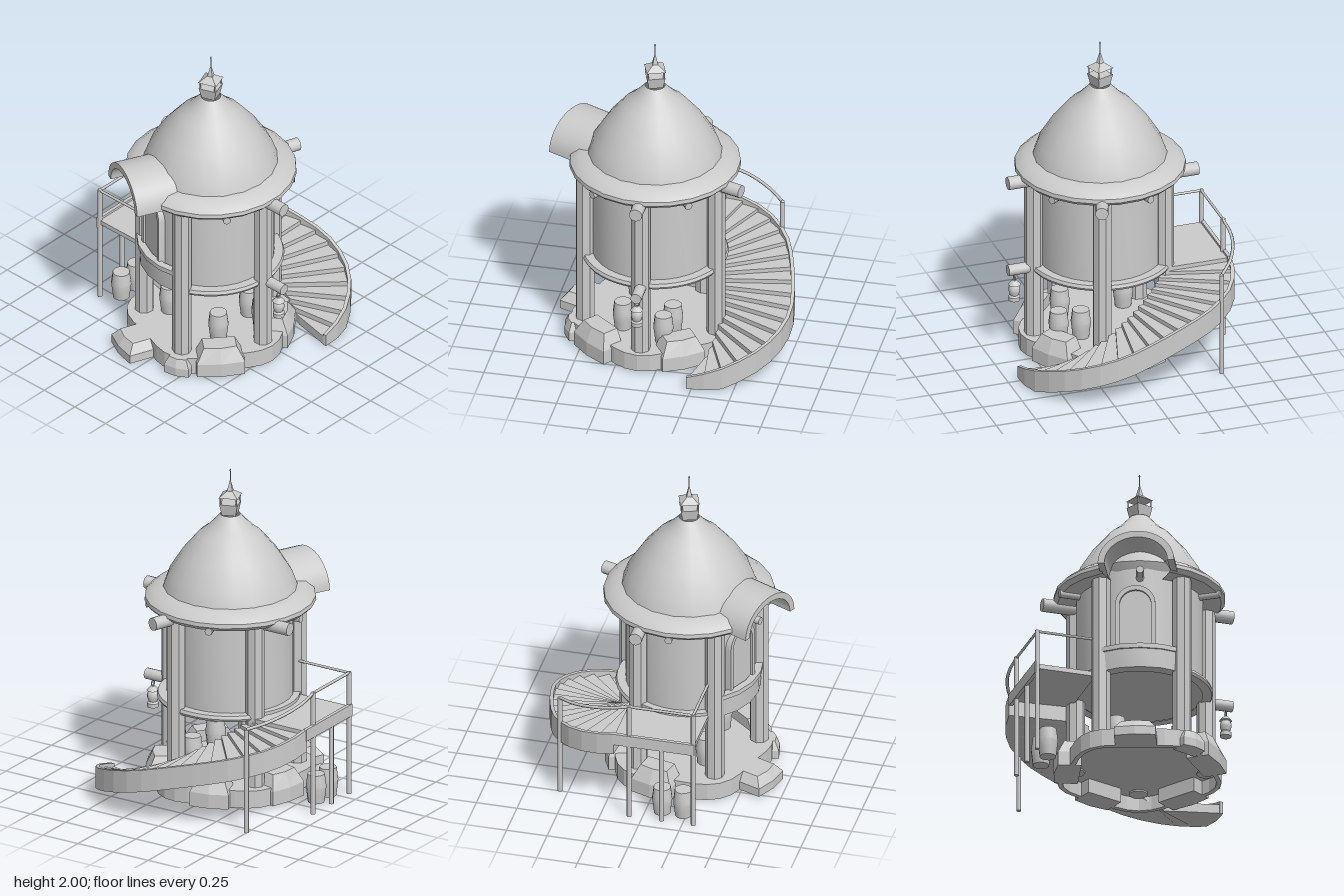
import * as THREE from 'three';
import { mergeGeometries, toCreasedNormals } from 'three/addons/utils/BufferGeometryUtils.js';

const smooth = new THREE.MeshStandardMaterial({ color: 0xcccccc, side: THREE.DoubleSide });
const flat = new THREE.MeshStandardMaterial({ color: 0xcccccc, flatShading: true, side: THREE.DoubleSide });
const rad = (d) => d * Math.PI / 180;
const V = (x, y, z) => new THREE.Vector3(x, y, z);
const AX = -0.108, AZ = 0.047; // tower axis

function add(parent, name, geo, mat = smooth) {
  const mesh = new THREE.Mesh(geo, mat);
  mesh.name = name;
  parent.add(mesh);
  return mesh;
}

// Puts an object at a compass angle round the tower, its local +z pointing outwards
function around(obj, deg, r, y, facing = deg) {
  obj.position.set(Math.cos(rad(deg)) * r, y, Math.sin(rad(deg)) * r);
  obj.rotation.y = Math.PI / 2 - rad(facing);
  return obj;
}

// Lathe from [radius, y] pairs, optionally only part of a turn (from/to in compass degrees)
function lathe(pts, seg = 24, from = 0, to = 360) {
  const g = new THREE.LatheGeometry(pts.map(p => new THREE.Vector2(...p)), seg, rad(90 - to), rad(to - from));
  return toCreasedNormals(g, rad(32));
}

// Rod between two points
function rod(a, b, r, sides = 12) {
  const d = b.clone().sub(a);
  const g = new THREE.CylinderGeometry(r, r, d.length(), sides);
  g.applyQuaternion(new THREE.Quaternion().setFromUnitVectors(V(0, 1, 0), d.clone().normalize()));
  const m = a.clone().add(b).multiplyScalar(0.5);
  return g.translate(m.x, m.y, m.z);
}

// Block from four lower and four upper corners, counter-clockwise from above
function prism(lo, hi) {
  const pos = [];
  const quad = (a, b, c, d) => [a, b, c, a, c, d].forEach(p => pos.push(p.x, p.y, p.z));
  quad(...hi);
  quad(lo[3], lo[2], lo[1], lo[0]);
  for (let i = 0; i < 4; i++) {
    const j = (i + 1) % 4;
    quad(lo[i], lo[j], hi[j], hi[i]);
  }
  const g = new THREE.BufferGeometry();
  g.setAttribute('position', new THREE.Float32BufferAttribute(pos, 3));
  g.computeVertexNormals();
  return g;
}

const arch = (S, w, h, leg) => {
  const s = new S();
  s.moveTo(-w, 0);
  s.lineTo(w, 0);
  s.lineTo(w, leg);
  s.absellipse(0, leg, w, h, 0, Math.PI, false);
  s.lineTo(-w, 0);
  return s;
};
const extrude = (s, depth) => toCreasedNormals(
  new THREE.ExtrudeGeometry(s, { depth, bevelEnabled: false, curveSegments: 10 }), rad(32));

const barrelGeo = () => lathe([[0, 0], [0.05, 0], [0.056, 0.05], [0.062, 0.1], [0.058, 0.13], [0.052, 0.18], [0, 0.18]], 12);

function buildBase(tower) {
  // Scalloped stone plinth: floor slab on a rim, hollow underneath
  const outline = (S, inset) => new S(Array.from({ length: 40 }, (_, i) => {
    const a = rad(i * 9), r = 0.475 + 0.03 * Math.cos(5 * (a - Math.PI / 2)) - inset;
    return new THREE.Vector2(Math.cos(a) * r, Math.sin(a) * r);
  }));
  const slab = (shape, depth) => new THREE.ExtrudeGeometry(shape, { depth, bevelEnabled: false })
    .rotateX(Math.PI / 2).translate(0, 0.12, 0);
  const rim = outline(THREE.Shape, 0);
  rim.holes.push(outline(THREE.Path, 0.03));
  add(tower, 'plinthRim', slab(rim, 0.11), flat);
  add(tower, 'plinthFloor', slab(outline(THREE.Shape, 0.02), 0.02), flat);

  // Tapered boulders along the rim: angle, centre radius, width, depth, height, inward lean of the top
  [[130, 0.43, 0.29, 0.14, 0.18, 0.04], [57, 0.42, 0.27, 0.14, 0.18, 0.04], [201, 0.51, 0.25, 0.18, 0.11, 0.04],
    [160, 0.48, 0.16, 0.1, 0.11, 0.02], [283, 0.43, 0.26, 0.14, 0.18, 0.04], [342, 0.42, 0.24, 0.14, 0.18, 0.04]].forEach(([a, r, w, d, h, lean]) => {
    const b = new THREE.BoxGeometry(w, h, d, 2, 2, 1), p = b.attributes.position;
    for (let i = 0; i < p.count; i++) {
      const top = p.getY(i) > 0.01, mid = Math.abs(p.getX(i)) < 0.01;
      if (top) p.setX(i, p.getX(i) * 0.68);
      if (p.getZ(i) > 0) p.setZ(i, p.getZ(i) - (top ? lean : 0) + (mid ? 0.015 : 0));
    }
    around(add(tower, 'boulder', b, flat), a, r, 0.01 + h / 2);
  });
}

function buildTower(tower) {
  // Columns
  for (let i = 0; i < 5; i++) {
    const c = add(tower, 'column', new THREE.CylinderGeometry(0.058, 0.058, 1.07, 8, 1, false, Math.PI / 8), flat);
    around(c, 89.3 + 72 * i, i === 2 || i === 3 ? 0.4 : 0.42, 0.625);
  }
  // Round room, its floor ring and the curved balcony front
  add(tower, 'roomWall', lathe([[0, 0.55], [0.38, 0.55], [0.38, 1.22]], 32));
  add(tower, 'floorRing', lathe([[0.375, 0.545], [0.432, 0.545], [0.44, 0.56], [0.432, 0.58], [0.375, 0.58]], 28, -60, 165));
  add(tower, 'floorRing', lathe([[0.375, 0.545], [0.42, 0.545], [0.42, 0.58], [0.375, 0.58]], 10, 230, 300));
  add(tower, 'balcony', lathe([[0.36, 0.54], [0.43, 0.54], [0.435, 0.66], [0.445, 0.66], [0.445, 0.69], [0.4, 0.69], [0.4, 0.59], [0.36, 0.59]], 4, 165, 230));

  // Arched window
  const frame = arch(THREE.Shape, 0.12, 0.12, 0.32);
  const hole = arch(THREE.Path, 0.095, 0.095, 0.295);
  frame.holes.push(new THREE.Path(hole.getPoints(10).map(p => p.setY(p.y + 0.02))));
  around(add(tower, 'windowFrame', extrude(frame, 0.06)), 202, 0.34, 0.65);
  around(add(tower, 'windowPane', extrude(arch(THREE.Shape, 0.1, 0.1, 0.31), 0.045)), 202, 0.34, 0.66);

  // Eave, left open below the dormer, and bell-shaped roof
  add(tower, 'eave', lathe([[0.37, 1.15], [0.49, 1.15], [0.515, 1.175], [0.512, 1.2], [0.46, 1.245], [0.39, 1.258]], 20, -135, 177));
  add(tower, 'roof', lathe([[0.38, 1.2], [0.404, 1.25], [0.372, 1.34], [0.29, 1.47], [0.24, 1.53],
    [0.19, 1.59], [0.145, 1.625], [0.1, 1.67], [0.06, 1.715]], 20));

  // Barrel-vaulted dormer hood
  const hood = new THREE.Shape();
  hood.absellipse(0, 0, 0.23, 0.2, 0, Math.PI, false);
  hood.lineTo(-0.19, 0);
  hood.absellipse(0, 0, 0.19, 0.16, Math.PI, 0, true);
  around(add(tower, 'dormerHood', extrude(hood, 0.27).translate(0, 0, -0.27)), 200.5, 0.588, 1.16, 205);

  // Beam ends under the eave
  for (let i = 0; i < 5; i++)
    around(add(tower, 'rafterEnd', rod(V(0, 0, -0.14), V(0, 0, 0), 0.024, 8)), 54 + 72 * i, 0.505, 1.145);
  [[89, 0.588], [18, 0.597]].forEach(([a, r]) =>
    around(add(tower, 'beamEnd', rod(V(0, 0, -0.25), V(0, 0, 0), 0.04)), a, r, 1.15, Math.min(a + 1, 90)));
  add(tower, 'beamEnd', rod(V(0.192, 1.15, -0.25), V(0.192, 1.15, -0.55), 0.04));
}

function buildFinial(tower) {
  const f = new THREE.Group();
  f.name = 'finial';
  f.rotation.y = rad(-25);
  tower.add(f);
  const square = (name, rt, rb, y0, y1) =>
    add(f, name, new THREE.CylinderGeometry(rt, rb, y1 - y0, 4).translate(0, (y0 + y1) / 2, 0), flat);
  square('finialBox', 0.078, 0.06, 1.715, 1.785);
  square('finialRoof', 0.018, 0.082, 1.828, 1.865);
  square('finialSpire', 0.004, 0.024, 1.86, 1.925);
  for (let i = 0; i < 4; i++)
    around(add(f, 'finialPost', new THREE.BoxGeometry(0.008, 0.05, 0.008)), i * 90, 0.068, 1.808);
  add(f, 'mast', rod(V(0, 1.9, 0), V(0, 2, 0), 0.003, 6));
  add(f, 'mastTip', new THREE.SphereGeometry(0.006, 8, 6).translate(0, 1.992, 0));
}

function buildLantern(tower) {
  add(tower, 'lanternBeam', rod(V(0.012, 0.565, 0.38), V(0.012, 0.565, 0.587), 0.034));
  const l = new THREE.Group();
  l.name = 'lantern';
  l.position.set(0.009, 0.36, 0.545);
  tower.add(l);
  add(l, 'lanternBody', lathe([[0, 0], [0.036, 0], [0.036, 0.025], [0.026, 0.035], [0.036, 0.065], [0.034, 0.085],
    [0.026, 0.1], [0.038, 0.104], [0.02, 0.125], [0.012, 0.132], [0, 0.132]], 12));
  add(l, 'lanternRing', new THREE.TorusGeometry(0.016, 0.004, 6, 14).translate(0, 0.15, 0));
}

function buildStairs(root) {
  const outer = new THREE.CatmullRomCurve3([[0.17, -0.67], [0.3, -0.65], [0.45, -0.58], [0.59, -0.42], [0.675, -0.2],
    [0.735, 0.06], [0.745, 0.18], [0.72, 0.32], [0.65, 0.46], [0.54, 0.57], [0.38, 0.655], [0.22, 0.67]].map(([x, z]) => V(x, 0, z)));
  const out = (t, y, push = 0) => {
    const p = outer.getPointAt(t), n = outer.getTangentAt(t);
    return V(p.x + n.z * push, y, p.z - n.x * push);
  };
  const inn = (t, y) => {
    const a = rad(-52 + 96 * t), r = 0.4 + 0.13 * t ** 3;
    return V(AX + Math.cos(a) * r, y, AZ + Math.sin(a) * r);
  };
  const slope = (t) => 0.56 - 0.36 * t - 0.13 * t * t, under = (t) => Math.max(0.008, slope(t) - 0.125);
  // Fanned steps on a sloping underside, with an outer stringer
  const N = 18, steps = [], stringer = [];
  for (let i = 0; i < N; i++) {
    const a = i / N, b = (i + 1) / N, y = slope(b) - 0.005, ua = under(a), ub = under(b);
    steps.push(prism([inn(a, ua), inn(b, ub), out(b, ub), out(a, ua)], [inn(a, y), inn(b, y), out(b, y), out(a, y)]));
    stringer.push(prism(
      [out(a, ua, -0.01), out(b, ub, -0.01), out(b, ub, 0.012), out(a, ua, 0.012)],
      [out(a, slope(a) + 0.015, -0.01), out(b, slope(b) + 0.015, -0.01), out(b, slope(b) + 0.015, 0.012), out(a, slope(a) + 0.015, 0.012)]));
  }
  add(root, 'steps', mergeGeometries(steps), flat);
  add(root, 'stringer', mergeGeometries(stringer), flat);

  // Landing with a raised edge
  const slab = (name, x0, x1, y0, y1, z0, z1) => add(root, name,
    new THREE.BoxGeometry(x1 - x0, y1 - y0, z1 - z0).translate((x0 + x1) / 2, (y0 + y1) / 2, (z0 + z1) / 2), flat);
  slab('landing', -0.32, 0.17, 0.53, 0.56, -0.67, -0.3);
  slab('landingEdge', -0.325, 0.18, 0.5, 0.575, -0.682, -0.66);

  // Posts and handrails
  [[-0.315, -0.665, 0.78], [-0.12, -0.665, 0.55], [0.08, -0.665, 0.78], [0.55, -0.495, 0.66]].forEach(([x, z, h]) =>
    add(root, 'post', rod(V(x, 0, z), V(x, h, z), 0.015, 8)));
  add(root, 'handrail', rod(V(-0.315, 0.775, -0.31), V(-0.315, 0.775, -0.67), 0.009, 6));
  add(root, 'handrail', rod(V(-0.315, 0.775, -0.665), V(0.08, 0.775, -0.665), 0.009, 6));
  const rail = new THREE.CatmullRomCurve3([V(0.08, 0.775, -0.665), V(0.2, 0.75, -0.668), V(0.32, 0.725, -0.645), V(0.45, 0.69, -0.58), V(0.55, 0.66, -0.495)]);
  add(root, 'handrail', new THREE.TubeGeometry(rail, 16, 0.01, 6));
}

export function createModel() {
  const root = new THREE.Group();
  root.name = 'towerHouse';
  const tower = new THREE.Group();
  tower.name = 'tower';
  tower.position.set(AX, 0, AZ);
  root.add(tower);
  buildBase(tower);
  buildTower(tower);
  buildFinial(tower);
  buildLantern(tower);
  buildStairs(root);
  // Barrels under the room and beneath the landing
  [[-0.26, 0.12, 0.25], [0.01, 0.12, 0.35], [0.04, 0.12, 0.22], [-0.26, 0.12, -0.15], [-0.1, 0, -0.57], [-0.23, 0, -0.57]].forEach(p =>
    add(root, 'barrel', barrelGeo()).position.set(...p));
  return root;
}
